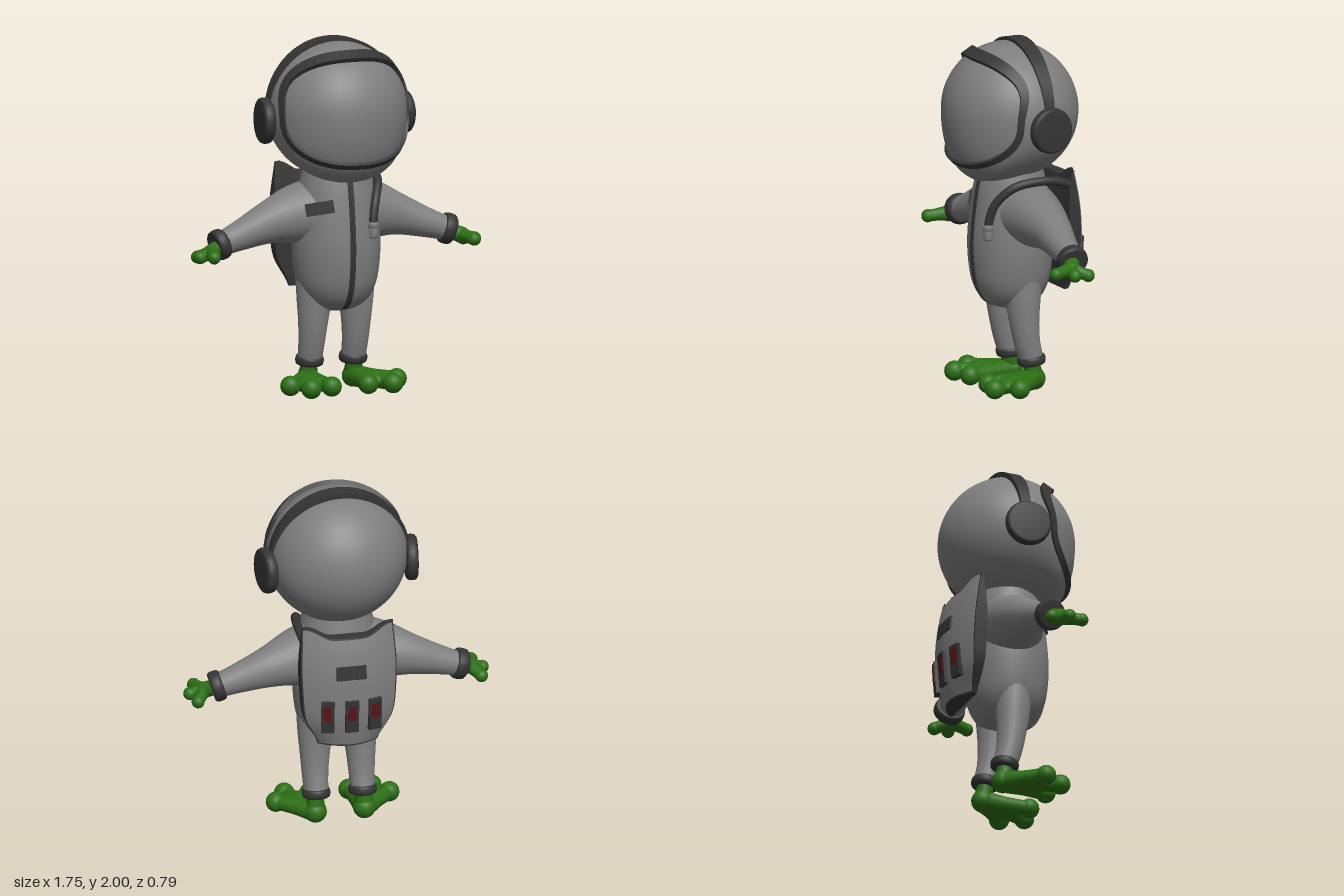
import * as THREE from 'three';

const V = (x, y, z) => new THREE.Vector3(x, y, z);
const paint = (color) => new THREE.MeshStandardMaterial({ color });
const suit = paint(0x7e7e7e), dark = paint(0x353535), skin = paint(0x2d7016), red = paint(0x5e1212);
dark.side = THREE.DoubleSide;

export function createModel() {
  const root = new THREE.Group();
  const add = (name, geometry, material, parent = root) => {
    const mesh = new THREE.Mesh(geometry, material);
    mesh.name = name;
    parent.add(mesh);
    return mesh;
  };
  const group = (name) => {
    const g = new THREE.Group();
    g.name = name;
    root.add(g);
    return g;
  };

  // Tube whose radius changes evenly along its length
  const limb = (points, radii, sides = 24, steps = 28) => {
    const curve = new THREE.CatmullRomCurve3(points);
    const widths = new THREE.SplineCurve(radii.map((r, i) => new THREE.Vector2(i, r)));
    const geo = new THREE.TubeGeometry(curve, steps, 1, sides);
    const pos = geo.attributes.position, v = V(0, 0, 0);
    for (let i = 0; i <= steps; i++) {
      const c = curve.getPointAt(i / steps), r = widths.getPoint(i / steps).y;
      for (let j = 0; j <= sides; j++) {
        const k = i * (sides + 1) + j;
        v.fromBufferAttribute(pos, k).sub(c).multiplyScalar(r).add(c);
        pos.setXYZ(k, v.x, v.y, v.z);
      }
    }
    return geo;
  };

  const ball = (name, p, r, material, parent) => {
    const mesh = add(name, new THREE.SphereGeometry(r, 20, 14), material, parent);
    mesh.position.copy(p);
    return mesh;
  };

  // Round disc with softened edges, pointing along dir
  const disc = (name, r, h, p, dir, material, parent) => {
    const profile = [[0, -h], [r * 0.86, -h], [r * 0.96, -h * 0.75], [r, -h * 0.3], [r, h * 0.3],
      [r * 0.96, h * 0.75], [r * 0.86, h], [0, h]].map(([x, y]) => new THREE.Vector2(x, y));
    const mesh = add(name, new THREE.LatheGeometry(profile, 32), material, parent);
    mesh.position.copy(p);
    mesh.quaternion.setFromUnitVectors(V(0, 1, 0), dir.clone().normalize());
  };

  // Sharp-edged band through four-cornered sections
  const band = (sections) => {
    const pos = [], idx = [];
    for (let k = 0; k < 4; k++) {
      const base = pos.length / 3;
      sections.forEach((s) => pos.push(...s[k].toArray(), ...s[(k + 1) % 4].toArray()));
      for (let i = 0; i < sections.length - 1; i++) {
        const a = base + i * 2;
        idx.push(a, a + 1, a + 2, a + 1, a + 3, a + 2);
      }
    }
    const geo = new THREE.BufferGeometry();
    geo.setAttribute('position', new THREE.Float32BufferAttribute(pos, 3));
    geo.setIndex(idx);
    geo.computeVertexNormals();
    return geo;
  };

  // Helmet: a ball with the lower front pushed out and down as a chin
  const onHelmet = (d) => {
    const chin = Math.max(-d.y, 0) ** 2 * Math.min(1, Math.max(d.z, 0) * 3);
    return V(d.x * 0.397 * (1 + 0.2 * chin), 1.595 + d.y * 0.385 - 0.022 * chin, 0.015 + d.z * 0.382 + 0.11 * chin);
  };
  const helmet = new THREE.SphereGeometry(1, 56, 40);
  const hp = helmet.attributes.position;
  for (let i = 0; i < hp.count; i++) {
    const p = onHelmet(V(0, 0, 0).fromBufferAttribute(hp, i));
    hp.setXYZ(i, p.x, p.y, p.z);
  }
  helmet.computeVertexNormals();
  add('helmet', helmet, suit);

  // Visor rim: rounded rectangle lying on the helmet
  const bend = (c) => Math.sign(c) * Math.abs(c) ** 0.83;
  const rimDir = (t) => {
    const x = 0.95 * bend(Math.cos(t)), s = bend(Math.sin(t)), y = 0.03 + s * (s > 0 ? 0.81 : 0.71);
    return V(x, y, Math.sqrt(Math.max(0, 1 - x * x - y * y)));
  };
  const rim = [];
  for (let i = 0; i <= 96; i++) {
    const t = (i / 96) * Math.PI * 2 + 0.03, n = rimDir(t), p = onHelmet(n);
    const along = onHelmet(rimDir(t + 0.01)).sub(onHelmet(rimDir(t - 0.01))).normalize();
    const side = along.clone().cross(n).normalize();
    const top = Math.max(0, Math.sin(t)), w = 0.019 + 0.018 * top, lift = 0.013 + 0.012 * top;
    rim.push([[-w, lift], [w, lift], [w, -0.03], [-w, -0.03]].map(([a, b]) =>
      p.clone().addScaledVector(side, a).addScaledVector(n, b)));
  }
  add('visorRim', band(rim), dark);

  // Headband and ear covers
  const arch = [];
  for (let i = 0; i <= 48; i++) {
    const t = (i / 48) * Math.PI, w = 0.025 + 0.021 * Math.sin(t);
    arch.push([[0.404, w], [0.404, -w], [0.36, -w], [0.36, w]].map(([r, z]) =>
      V(r * Math.cos(t), 1.595 + r * Math.sin(t), -0.038 + z)));
  }
  add('headband', band(arch), dark);
  for (const s of [1, -1]) disc('earCover', 0.13, 0.033, V(s * 0.415, 1.55, -0.035), V(s, 0, -0.13), dark);

  // Torso
  const outline = new THREE.SplineCurve([[0, 0.455], [0.07, 0.465], [0.135, 0.49], [0.19, 0.54], [0.232, 0.64],
    [0.25, 0.8], [0.244, 0.95], [0.225, 1.1], [0.21, 1.18], [0.19, 1.26]].map(([x, y]) => new THREE.Vector2(x, y)));
  const profile = outline.getPoints(45);
  profile[0].x = 0;
  const torso = new THREE.LatheGeometry(profile, 48);
  torso.scale(1, 1, 0.95);
  torso.translate(0, 0, 0.012);
  add('torso', torso, suit);

  // Zip down the chest
  const zip = (w, lift) => band(profile.filter((p) => p.y > 0.475 && p.y < 1.23).map((p) => {
    const z = p.x * 0.95 + 0.012;
    return [V(-w, p.y, z + lift), V(w, p.y, z + lift), V(w, p.y, z - 0.02), V(-w, p.y, z - 0.02)];
  }));
  add('zipTape', zip(0.016, 0.005), dark);
  add('zipTeeth', zip(0.005, 0.009), dark);

  // Chest patch: a framed plate
  const patch = group('chestPatch');
  patch.position.set(-0.165, 1.065, 0.163);
  patch.rotation.set(-0.15, -0.55, 0.1);
  add('patchPlate', new THREE.BoxGeometry(0.16, 0.07, 0.03), dark, patch);
  for (const s of [1, -1]) {
    add('patchEdge', new THREE.BoxGeometry(0.16, 0.008, 0.036), dark, patch).position.y = s * 0.032;
    add('patchEnd', new THREE.BoxGeometry(0.008, 0.07, 0.036), dark, patch).position.x = s * 0.076;
  }

  for (const s of [1, -1]) {
    const name = s > 0 ? 'left' : 'right';
    const P = (x, y, z) => V(s * x, y, z);

    // Arm flaring into the shoulder, and cuff
    const arm = group(name + 'Arm');
    add('sleeve', limb([P(0.08, 1.02, -0.015), P(0.235, 1.005, -0.035), P(0.39, 0.968, -0.045), P(0.545, 0.917, -0.035),
      P(0.7, 0.865, -0.025)], [0.2, 0.166, 0.119, 0.088, 0.068]), suit, arm);
    disc('cuff', 0.088, 0.034, P(0.695, 0.868, -0.025), P(1, -0.32, 0.08), dark, arm);

    // Hand with three fingers
    const hand = group(name + 'Hand');
    const knuckles = P(0.762, 0.833, 0.014);
    add('palm', limb([P(0.7, 0.862, -0.02), P(0.735, 0.845, 0), knuckles], [0.042, 0.045, 0.046], 16, 10), skin, hand);
    ball('knuckles', knuckles, 0.047, skin, hand);
    for (const tip of [P(0.812, 0.8, -0.066), P(0.838, 0.812, 0.03), P(0.795, 0.822, 0.125)]) {
      add('finger', limb([knuckles, knuckles.clone().lerp(tip, 0.5), tip], [0.045, 0.036, 0.034], 14, 10), skin, hand);
      ball('fingertip', tip, 0.037, skin, hand);
    }

    // Leg and cuff
    const leg = group(name + 'Leg');
    add('trouser', limb([P(0.115, 0.66, 0), P(0.126, 0.53, -0.003), P(0.131, 0.4, -0.01), P(0.133, 0.28, -0.026),
      P(0.133, 0.17, -0.055)], [0.118, 0.102, 0.086, 0.075, 0.069]), suit, leg);
    disc('cuff', 0.08, 0.026, P(0.133, 0.175, -0.054), P(0, 1, 0.14), dark, leg);

    // Foot: broad sole with three round toes
    const foot = group(name + 'Foot');
    const heel = P(0.14, 0.066, -0.068);
    add('ankle', limb([P(0.135, 0.18, -0.053), P(0.138, 0.12, -0.058), heel], [0.042, 0.05, 0.06], 18, 10), skin, foot);
    ball('heel', heel, 0.064, skin, foot);
    const sole = ball('sole', P(0.19, 0.064, 0.07), 1, skin, foot);
    sole.scale.set(0.092, 0.052, 0.14);
    sole.rotation.y = s * 0.45;
    for (const tip of [P(0.112, 0.06, 0.205), P(0.25, 0.06, 0.235), P(0.325, 0.064, 0.115)]) {
      add('toe', limb([heel, heel.clone().lerp(tip, 0.55), tip], [0.06, 0.046, 0.043], 18, 12), skin, foot);
      ball('toeTip', tip, 0.057, skin, foot);
    }
  }

  // Backpack: a box bent into a shield, u across (-1..1), v up (0..1)
  const halfWidth = new THREE.SplineCurve([[0, 0.17], [0.25, 0.25], [0.5, 0.27], [0.75, 0.274], [1, 0.262]]
    .map(([x, y]) => new THREE.Vector2(x, y)));
  const packBack = (u, v) => {
    const horn = THREE.MathUtils.smoothstep(Math.abs(u), 0.35, 0.9) * v ** 5;
    return V(u * halfWidth.getPoint(v).y, 0.567 + 0.648 * v + 0.062 * horn,
      -0.372 + 0.07 * u * u + 0.055 * v ** 4 + 0.04 * (1 - v) ** 4);
  };
  const packShell = (scale, back, front) => {
    const geo = new THREE.BoxGeometry(2, 1, 1, 24, 24, 1), pos = geo.attributes.position;
    for (let i = 0; i < pos.count; i++) {
      const v = 0.5 + pos.getY(i) * scale, p = packBack(pos.getX(i) * scale, v);
      pos.setXYZ(i, p.x, p.y, pos.getZ(i) < 0 ? p.z + back : front - 0.03 * v ** 6 - 0.025 * (1 - v) ** 2);
    }
    geo.computeVertexNormals();
    return geo;
  };
  add('packShell', packShell(1, 0, -0.215), dark);
  add('packCover', packShell(0.97, -0.004, -0.235), suit);

  // Fittings on the pack
  const fitting = (name, u, v, w, h, d, out, material) => {
    const mesh = add(name, new THREE.BoxGeometry(w, h, d), material);
    mesh.position.copy(packBack(u, v)).add(V(0, 0, -out));
    const slope = packBack(u, v + 0.05).sub(packBack(u, v - 0.05));
    mesh.rotation.set(Math.atan2(slope.z, slope.y), -u * 0.5, 0);
  };
  fitting('packPanel', 0, 0.7, 0.17, 0.08, 0.016, 0.001, dark);
  for (const u of [-0.52, 0, 0.52]) {
    fitting('packCell', u, 0.3, 0.075, 0.19, 0.03, 0.008, dark);
    fitting('packLight', u, 0.335, 0.045, 0.09, 0.03, 0.011, red);
  }

  // Air hose over the left shoulder
  add('airHose', limb([V(0.24, 1.17, -0.26), V(0.25, 1.21, -0.16), V(0.245, 1.22, -0.04), V(0.215, 1.19, 0.1),
    V(0.165, 1.1, 0.185), V(0.142, 1.02, 0.21), V(0.135, 0.95, 0.22)], [0.025, 0.025, 0.025], 16, 48), dark);
  disc('hoseCollar', 0.032, 0.016, V(0.135, 0.962, 0.219), V(0, 1, 0), suit);
  disc('hosePlug', 0.026, 0.034, V(0.135, 0.922, 0.219), V(0, 1, 0), suit);

  return root;
}
